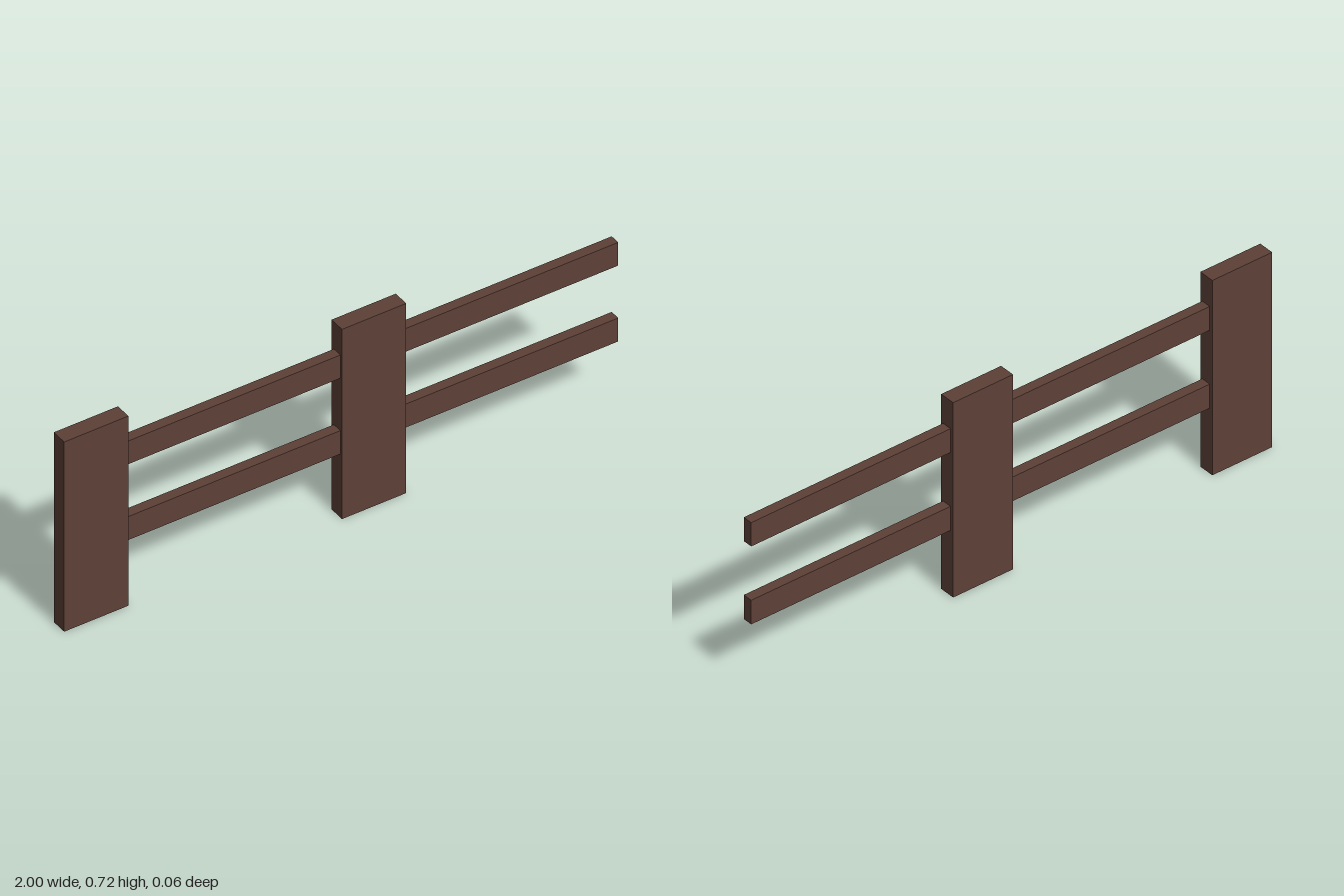
import * as THREE from 'three';

export function createModel() {
  const group = new THREE.Group();
  group.name = 'fence';

  const wood = new THREE.MeshStandardMaterial({ color: 0x5d4037 });
  wood.name = 'dark brown wood';

  // Box given by its x, y and z ranges
  const addBoard = (name, [x0, x1], [y0, y1], [z0, z1]) => {
    const mesh = new THREE.Mesh(new THREE.BoxGeometry(x1 - x0, y1 - y0, z1 - z0), wood);
    mesh.name = name;
    mesh.position.set((x0 + x1) / 2, (y0 + y1) / 2, (z0 + z1) / 2);
    group.add(mesh);
  };

  const postWidth = 0.231;
  const sections = [['right', -1], ['middle', 0]];
  const rails = [['Lower', 0.241, 0.33], ['Upper', 0.529, 0.617]];

  // Each section is a wide flat post followed by two rails
  for (const [side, x] of sections) {
    addBoard(`${side}Post`, [x, x + postWidth], [0, 0.72], [-0.0285, 0.0285]);
    for (const [level, y0, y1] of rails) {
      addBoard(`${side}${level}Rail`, [x + postWidth, x + 1], [y0, y1], [-0.016, 0.0195]);
    }
  }

  return group;
}
